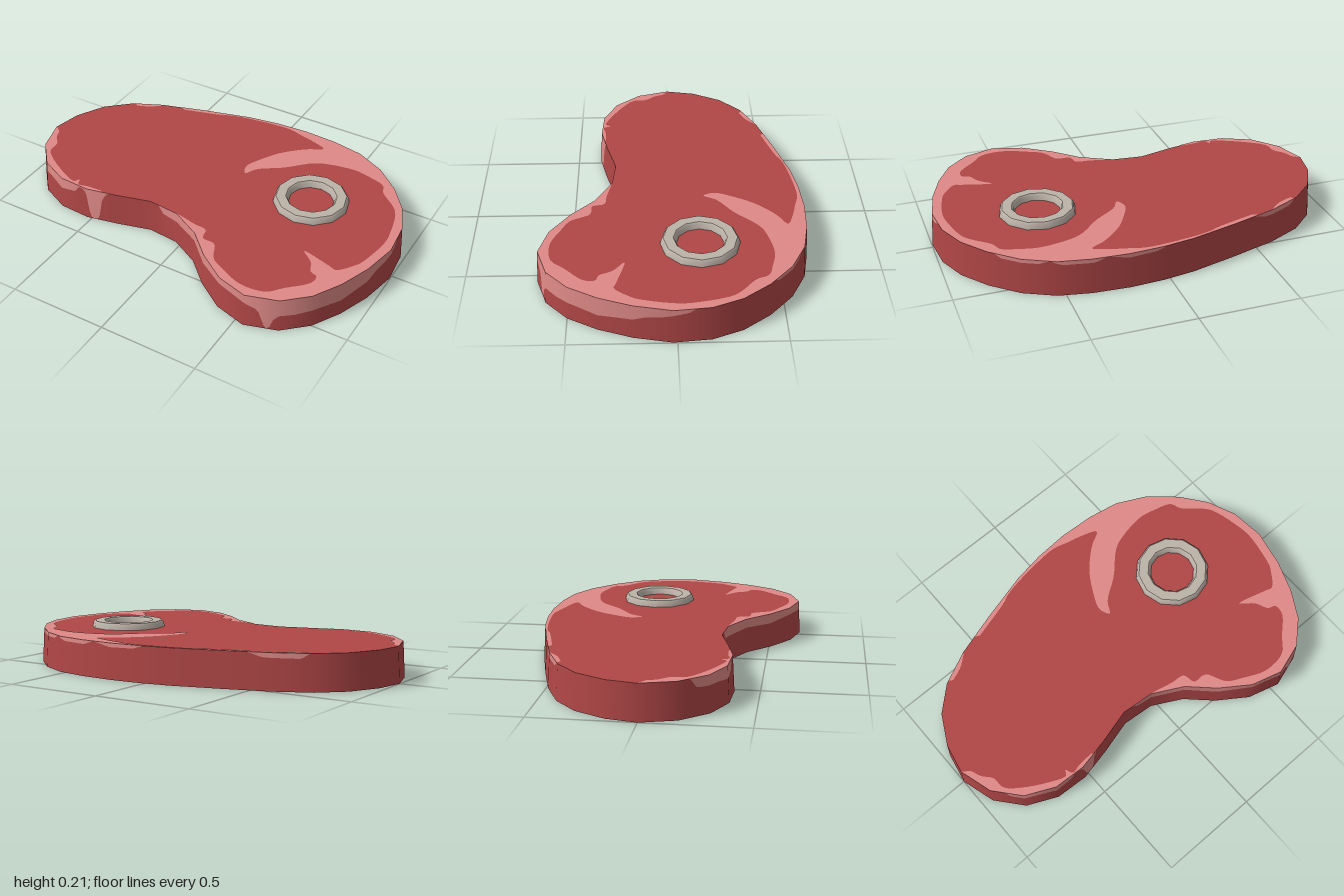
import * as THREE from 'three';

const H = 0.175, INSET = 0.01, STEPS = 12;

// Bean-shaped outline (x, z): left end, back, right end, front
const outline = [
  [-1, 0], [-.97, -.15], [-.89, -.3], [-.77, -.41], [-.6, -.49], [-.37, -.56], [-.13, -.625], [.03, -.65],
  [.2, -.66], [.38, -.65], [.54, -.62], [.69, -.545], [.82, -.43], [.92, -.3], [.98, -.155], [.997, .02],
  [.96, .2], [.9, .36], [.82, .5], [.705, .605], [.545, .655], [.385, .61], [.24, .51], [.12, .395],
  [-.03, .315], [-.19, .3], [-.36, .345], [-.525, .38], [-.69, .37], [-.84, .3], [-.95, .17],
].map(([x, z]) => new THREE.Vector2(x, z));
const N = outline.length;
const at = (i) => outline[(i + N) % N];

// Outward normal at each outline corner
const normals = outline.map((_, i) => {
  const t = at(i + 1).clone().sub(at(i - 1)).normalize();
  return new THREE.Vector2(t.y, -t.x);
});

// Point and normal at a fractional outline index
function sample(t) {
  const i = Math.floor(t + 1e-6), f = t - i;
  const n = normals[i % N].clone().lerp(normals[(i + 1) % N], f).normalize();
  return { p: at(i).clone().lerp(at(i + 1), f), n };
}
const topPoint = (t) => {
  const { p, n } = sample(t);
  return p.addScaledVector(n, -INSET);
};

// Lower edge of the fat on the side wall: [outline index, height]
const fatEdge = [
  [0, H], [3.1, H], [3.3, .15], [4.2, .152], [4.5, H], [6.9, H], [7.2, .158], [8, .155], [8.6, H],
  [8.9, .155], [9.8, .155], [10.2, H], [10.5, .157], [11.6, .157], [11.8, H], [14.4, H], [14.6, .155],
  [15, .145], [15.3, .13], [15.7, .12], [16, .1], [16.5, .09], [17, .08], [18, .09], [18.5, .08],
  [19, .085], [19.2, .05], [19.27, 0], [19.38, 0], [19.6, .1], [20, .13], [21, .14], [22, .125],
  [23, .13], [24, .125], [24.5, .135], [24.7, H], [26.3, H], [26.45, .14], [26.55, .1], [26.6, 0],
  [26.9, 0], [26.95, .12], [27.1, .165], [27.3, .17], [27.45, .13], [28, .115], [28.6, .125], [29.4, .13],
  [29.6, H], [31, H],
];
function fatHeight(t) {
  const k = Math.max(1, fatEdge.findIndex(([s]) => s >= t - 1e-6));
  const [a, ya] = fatEdge[k - 1], [b, yb] = fatEdge[k];
  return THREE.MathUtils.lerp(ya, yb, THREE.MathUtils.clamp((t - a) / (b - a), 0, 1));
}

// One band of the side wall between two height rules
function wallBand(lowRule, highRule) {
  const pos = [], nor = [], idx = [], count = N * STEPS;
  for (let c = 0; c <= count; c++) {
    const t = c / STEPS, { p, n } = sample(t);
    for (const y of [lowRule(t), highRule(t)]) {
      const q = p.clone().addScaledVector(n, -INSET * y / H);
      pos.push(q.x, y, q.y);
      nor.push(n.x, INSET / H, n.y);
    }
    if (c < count) {
      const a = c * 2;
      idx.push(a, a + 1, a + 2, a + 1, a + 3, a + 2);
    }
  }
  const g = new THREE.BufferGeometry();
  g.setAttribute('position', new THREE.Float32BufferAttribute(pos, 3));
  g.setAttribute('normal', new THREE.Float32BufferAttribute(nor, 3));
  g.setIndex(idx);
  g.normalizeNormals();
  return g;
}

// Flat upward face from (x, z) points
function flatFace(points, y) {
  const shape = new THREE.Shape(points.map((p) => new THREE.Vector2(p.x, -p.y)));
  return new THREE.ShapeGeometry(shape).rotateX(-Math.PI / 2).translate(0, y, 0);
}

// Fat patch: outline from index a to b, closed by a soft inner edge running from a to b
function fatPatch(a, b, inner) {
  const pts = [];
  for (let t = b; t > a; t = Math.ceil(t - 1)) pts.push(topPoint(t));
  pts.push(topPoint(a));
  const curve = new THREE.SplineCurve(inner.map(([x, z]) => new THREE.Vector2(x, z)));
  return flatFace([...pts, ...curve.getPoints(inner.length * 4)], H + 0.0015);
}

export function createModel() {
  const group = new THREE.Group();
  const mat = (name, color) => Object.assign(new THREE.MeshStandardMaterial({ color }), { name });
  const meat = mat('meat red', 0xb04646);
  const fat = mat('fat pink', 0xde8a87);
  const bone = mat('bone grey', 0xbcb2a8);
  const add = (name, geometry, material, parent = group) => {
    const mesh = new THREE.Mesh(geometry, material);
    mesh.name = name;
    parent.add(mesh);
  };

  // Slab of meat
  add('meatSide', wallBand(() => 0, fatHeight), meat);
  add('fatSide', wallBand(fatHeight, () => H), fat);
  add('meatTop', flatFace(outline.map((_, i) => topPoint(i)), H), meat);
  add('meatBottom', new THREE.ShapeGeometry(new THREE.Shape(outline)).rotateX(Math.PI / 2), meat);

  // Fat marbling on the top
  add('fatRim', fatPatch(4.4, 24, [
    [-.48, -.495], [-.29, -.55], [-.22, -.58], [-.1, -.605], [.09, -.625], [.19, -.605], [.29, -.58], [.35, -.55],
    [.27, -.5], [.17, -.4], [.1, -.28], [.075, -.21], [.1, -.155], [.14, -.22], [.25, -.3], [.35, -.4],
    [.43, -.44], [.57, -.465], [.68, -.445], [.75, -.42], [.78, -.36], [.86, -.29], [.9, -.23], [.93, -.11],
    [.94, 0], [.91, .16], [.88, .22], [.83, .28], [.78, .27], [.64, .235], [.7, .29], [.73, .35], [.77, .37],
    [.76, .43], [.68, .51], [.61, .58], [.49, .59], [.38, .545], [.3, .5], [.25, .41], [.18, .4], [.16, .34],
    [.09, .33], [0, .31],
  ]), fat);
  add('fatLeftEnd', fatPatch(26.5, 31, [
    [-.45, .345], [-.53, .35], [-.58, .36], [-.6, .325], [-.62, .35], [-.69, .325], [-.8, .265], [-.88, .2],
    [-.89, .13], [-.93, .08], [-.95, .03],
  ]), fat);
  add('fatBackStrip', fatPatch(3.1, 4, [[-.73, -.395], [-.66, -.425], [-.61, -.465]]), fat);

  // Marrow bone ring: outer wall, flat top, inner wall
  const ring = new THREE.Group();
  ring.name = 'boneRing';
  ring.position.set(.495, 0, -.12);
  const profiles = {
    boneOuter: [[.19, H], [.185, .198], [.176, .208]],
    boneTop: [[.176, .208], [.128, .208]],
    boneInner: [[.128, .208], [.12, .2], [.113, H]],
  };
  for (const [name, pts] of Object.entries(profiles)) {
    add(name, new THREE.LatheGeometry(pts.map(([r, y]) => new THREE.Vector2(r, y)), 12), bone, ring);
  }
  group.add(ring);
  return group;
}
